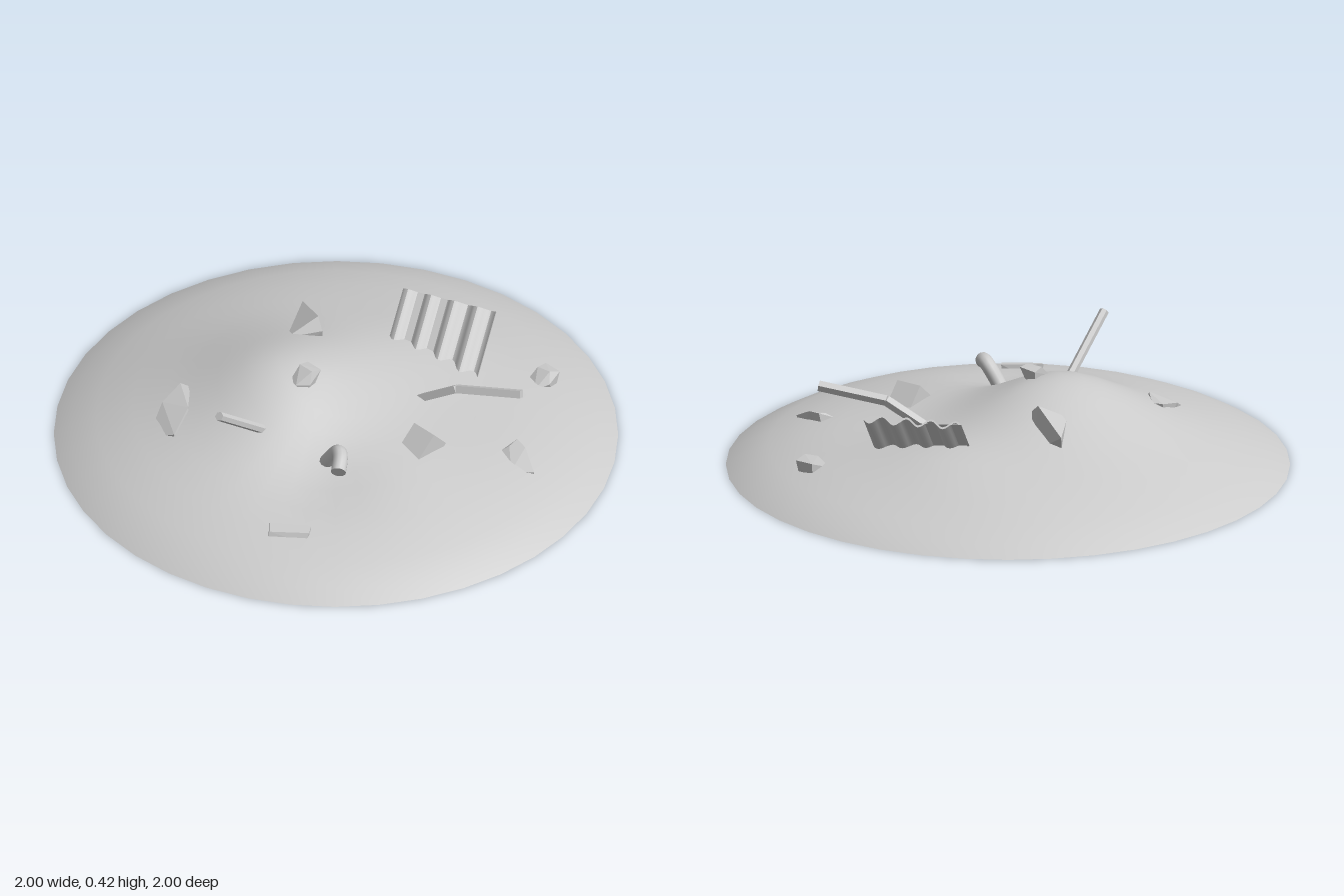
import * as THREE from 'three';
import { ConvexGeometry } from 'three/addons/geometries/ConvexGeometry.js';
import { toCreasedNormals } from 'three/addons/utils/BufferGeometryUtils.js';

const V = (x, y, z) => new THREE.Vector3(x, y, z);
const grey = new THREE.MeshStandardMaterial({ color: 0xcccccc });
const greyDouble = new THREE.MeshStandardMaterial({ color: 0xcccccc, side: THREE.DoubleSide });

// One soft hill: centre, height, spread towards x and z
const hill = (x, z, cx, cz, h, sx, sz) =>
  h * Math.exp(-((x - cx) ** 2) / (2 * sx * sx) - ((z - cz) ** 2) / (2 * sz * sz));

// Height of the ground: a shallow dome with a main peak and smaller swells
function ground(x, z) {
  const r = Math.min(1, Math.hypot(x, z));
  const swells = hill(x, z, -0.13, 0.14, 0.185, 0.24, z < 0.14 ? 0.3 : 0.23)
    + hill(x, z, 0.42, 0.1, 0.025, 0.15, 0.18)
    + hill(x, z, 0.0, -0.47, 0.025, 0.2, 0.12)
    + hill(x, z, -0.5, 0.05, 0.02, 0.15, 0.25)
    - hill(x, z, 0.27, 0.36, 0.03, 0.12, 0.14)
    - hill(x, z, 0.0, -0.8, 0.012, 0.4, 0.1);
  return 0.135 * (1 - r ** 5) + swells * Math.min(1, (1 - r) * 4);
}

// Open mound made from rings of a disc
function makeMound() {
  const sides = 40, rings = [0.06, 0.13, 0.2, 0.27, 0.34, 0.42, 0.5, 0.6, 0.72, 0.85, 0.94, 1];
  const pos = [0, ground(0, 0), 0], index = [];
  rings.forEach((r, i) => {
    for (let j = 0; j < sides; j++) {
      const a = (j / sides) * Math.PI * 2, x = r * Math.sin(a), z = r * Math.cos(a);
      pos.push(x, ground(x, z), z);
      const k = (j + 1) % sides, o = 1 + i * sides, p = o - sides;
      if (i === 0) index.push(0, o + j, o + k);
      else index.push(p + j, o + j, o + k, p + j, o + k, p + k);
    }
  });
  const g = new THREE.BufferGeometry();
  g.setAttribute('position', new THREE.Float32BufferAttribute(pos, 3));
  g.setIndex(index);
  g.computeVertexNormals();
  return g;
}

// Straight bar of n sides between two points
function bar(a, b, radius, n, turn = 0) {
  const d = b.clone().sub(a), g = new THREE.CylinderGeometry(radius, radius, d.length(), n);
  g.rotateY(turn);
  g.applyQuaternion(new THREE.Quaternion().setFromUnitVectors(V(0, 1, 0), d.normalize()));
  g.translate((a.x + b.x) / 2, (a.y + b.y) / 2, (a.z + b.z) / 2);
  return toCreasedNormals(g, 0.5);
}

// Corrugated sheet: wavy strip extruded along its length
function makeSheet() {
  const w = 0.355, thick = 0.008, n = 32, length = 0.36, shape = new THREE.Shape();
  const wave = (t) => 0.014 * Math.sin(t * Math.PI * 8);
  for (let i = 0; i <= n; i++) shape.lineTo((i / n - 0.5) * w, wave(i / n));
  for (let i = n; i >= 0; i--) shape.lineTo((i / n - 0.5) * w, wave(i / n) + thick);
  const g = new THREE.ExtrudeGeometry(shape, { depth: length, bevelEnabled: false, steps: 1 });
  const across = V(0.92, 0, -0.39).normalize();
  const down = V(0.28, -0.69, 0.66).normalize();
  const normal = down.clone().cross(across).normalize();
  g.applyMatrix4(new THREE.Matrix4().makeBasis(across, normal, down).setPosition(0.02, 0.31, -0.55));
  return toCreasedNormals(g, 0.7);
}

// Corner points of each rubble chunk
const chunks = {
  wedgeChunk: [[-0.4, 0.25, -0.23], [-0.24, 0.315, -0.15], [-0.2, 0.28, -0.13], [-0.29, 0.25, -0.04],
    [-0.36, 0.15, -0.17], [-0.22, 0.14, -0.16], [-0.28, 0.15, -0.06]],
  peakChunk: [[-0.06, 0.335, 0.08], [0.01, 0.34, 0.085], [0.01, 0.3, 0.14], [-0.02, 0.305, 0.18],
    [-0.06, 0.3, 0.17], [-0.06, 0.345, 0.12], [0, 0.345, 0.12], [-0.05, 0.23, 0.1], [0, 0.23, 0.14]],
  frontSlab: [[-0.41, 0.205, 0.37], [-0.37, 0.205, 0.36], [-0.29, 0.205, 0.45], [-0.25, 0.165, 0.56],
    [-0.35, 0.115, 0.59], [-0.4, 0.18, 0.47], [-0.39, 0.09, 0.38], [-0.27, 0.08, 0.46],
    [-0.26, 0.08, 0.55], [-0.35, 0.07, 0.57]],
  sideChunk: [[0.61, 0.15, -0.3], [0.66, 0.145, -0.29], [0.745, 0.1, -0.25], [0.68, 0.1, -0.2],
    [0.59, 0.12, -0.235], [0.61, 0.14, -0.26], [0.6, 0.05, -0.28], [0.72, 0.04, -0.25], [0.65, 0.04, -0.21]],
  backChunk: [[0.35, 0.13, -0.7], [0.42, 0.13, -0.7], [0.43, 0.11, -0.64], [0.4, 0.09, -0.59],
    [0.345, 0.09, -0.6], [0.36, 0.145, -0.65], [0.41, 0.145, -0.66], [0.36, 0.04, -0.68],
    [0.42, 0.04, -0.67], [0.38, 0.04, -0.61]],
  frontBrick: [[0.31, 0.125, 0.64], [0.43, 0.125, 0.55], [0.45, 0.12, 0.58], [0.34, 0.115, 0.67],
    [0.345, 0.085, 0.68], [0.45, 0.085, 0.6], [0.31, 0.05, 0.63], [0.43, 0.05, 0.56]],
};

export function createModel() {
  const group = new THREE.Group();
  const add = (name, geometry, material = grey) => {
    const mesh = new THREE.Mesh(geometry, material);
    mesh.name = name;
    group.add(mesh);
    return mesh;
  };

  add('mound', makeMound(), greyDouble);
  for (const [name, points] of Object.entries(chunks))
    add(name, new ConvexGeometry(points.map((p) => V(...p))));

  // Tilted brick on the right slope
  const brick = add('tiltedBrick', new THREE.BoxGeometry(0.1, 0.09, 0.155));
  brick.position.set(0.41, 0.145, -0.005);
  brick.rotation.x = 0.72;

  add('corrugatedSheet', makeSheet());

  // Leaning rod
  add('rod', bar(V(-0.005, 0.15, 0.28), V(0.007, 0.405, 0.59), 0.017, 6));

  // Bent beam, two square lengths meeting at a kink
  const beam = [V(0.13, 0.11, -0.18), V(0.34, 0.245, -0.265), V(0.56, 0.285, -0.37)];
  for (let i = 0; i < 2; i++) add('bentBeam', bar(beam[i], beam[i + 1], 0.019, 4, Math.PI / 4));

  // Bent pipe with a cap on its free end
  const path = new THREE.CatmullRomCurve3(
    [V(0.18, 0.07, 0.27), V(0.24, 0.165, 0.28), V(0.295, 0.235, 0.28), V(0.325, 0.237, 0.3), V(0.36, 0.215, 0.345)]);
  add('bentPipe', new THREE.TubeGeometry(path, 20, 0.027, 12), greyDouble);
  for (const t of [0, 1]) {
    const cap = add('pipeEnd', new THREE.CircleGeometry(0.027, 12), greyDouble);
    cap.position.copy(path.getPoint(t));
    cap.quaternion.setFromUnitVectors(V(0, 0, 1), path.getTangent(t));
  }
  return group;
}
